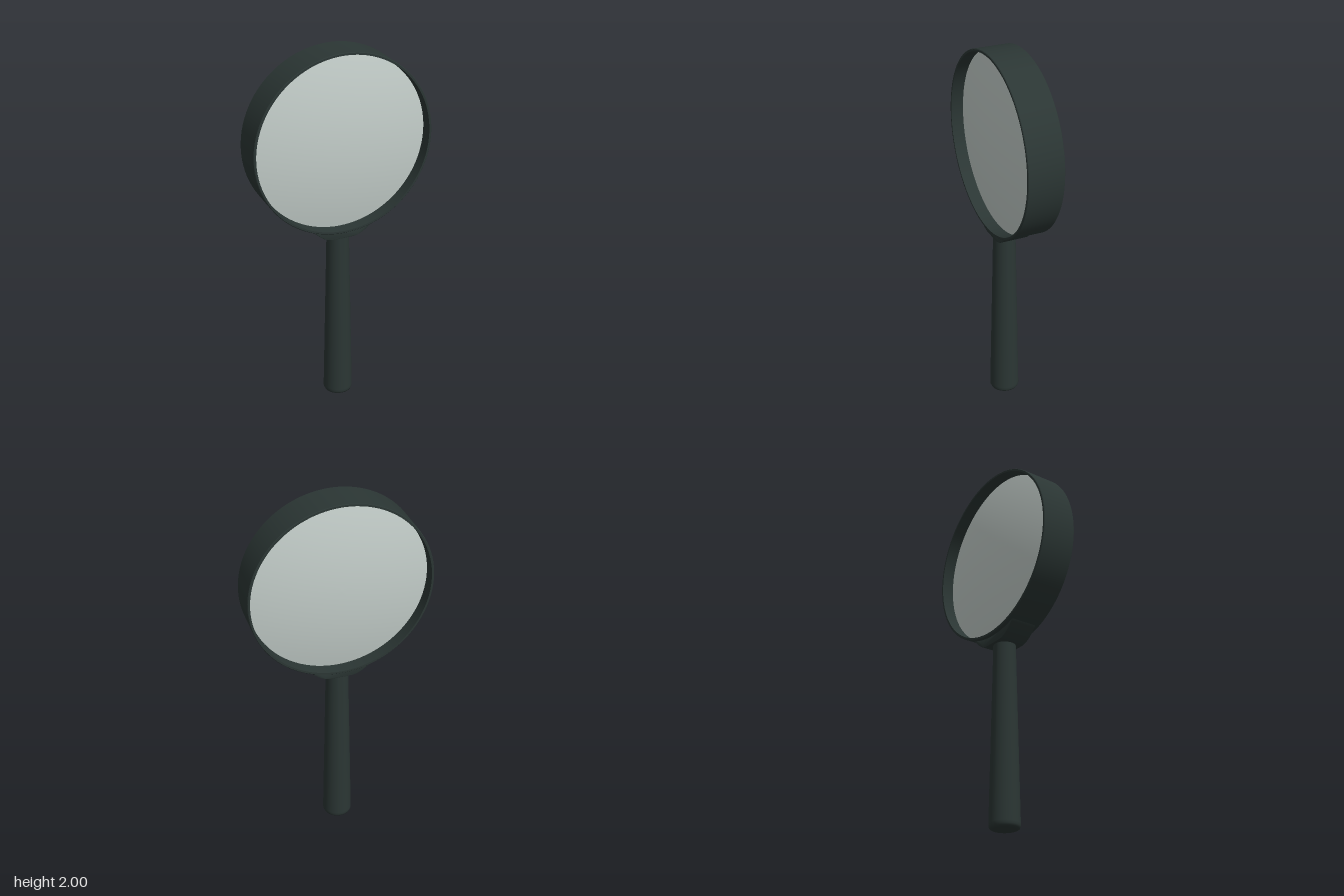
import * as THREE from 'three';
import { toCreasedNormals } from 'three/addons/utils/BufferGeometryUtils.js';

const CENTRE_Y = 1.515, OUTER = 0.485, INNER = 0.472, HALF_DEPTH = 0.097;

const lathe = (points, segments) =>
  new THREE.LatheGeometry(points.map(([r, y]) => new THREE.Vector2(r, y)), segments);

export function createModel() {
  const group = new THREE.Group();
  const black = new THREE.MeshStandardMaterial({ color: 0x2b3634 });
  black.name = 'dark casing';
  const glass = new THREE.MeshStandardMaterial({ color: 0xc5cfcb });
  glass.name = 'pale glass';

  const add = (name, geometry, material, y = 0) => {
    const mesh = new THREE.Mesh(geometry, material);
    mesh.name = name;
    mesh.position.y = y;
    group.add(mesh);
    return mesh;
  };

  // Deep, thin-walled rim with a tiny bevel on the outer edges
  const d = HALF_DEPTH, b = 0.003;
  const rim = lathe([
    [INNER, -d], [OUTER - b, -d], [OUTER, -d + b], [OUTER, d - b],
    [OUTER - b, d], [INNER, d], [INNER, -d],
  ], 96).rotateX(Math.PI / 2);
  add('rim', toCreasedNormals(rim, 0.5), black, CENTRE_Y);

  // Two shallow domes make the convex lens, recessed inside the rim
  const dome = [];
  for (let i = 0; i <= 14; i++) {
    const r = INNER * (1 - i / 14);
    dome.push([r, 0.03 + 0.05 * (1 - (r / INNER) ** 2)]);
  }
  for (const [name, side] of [['lensFront', 1], ['lensBack', -1]]) {
    add(name, lathe(dome, 96).rotateX(side * Math.PI / 2), glass, CENTRE_Y);
  }

  // Cradle that flares from the handle to the underside of the rim
  const cradle = new THREE.Shape();
  cradle.moveTo(-0.06, 0.992);
  cradle.lineTo(0.06, 0.992);
  cradle.bezierCurveTo(0.11, 1.0, 0.14, 1.03, 0.175, 1.068);
  const a = Math.asin(0.175 / 0.48);
  cradle.absarc(0, CENTRE_Y, 0.479, -Math.PI / 2 + a, -Math.PI / 2 - a, true);
  cradle.bezierCurveTo(-0.14, 1.03, -0.11, 1.0, -0.06, 0.992);
  const cradleGeometry = new THREE.ExtrudeGeometry(cradle, {
    depth: 0.142, bevelEnabled: true, bevelThickness: 0.004, bevelSize: 0.004,
    bevelSegments: 2, curveSegments: 16,
  }).translate(0, 0, -0.071);
  add('cradle', toCreasedNormals(cradleGeometry, 0.6), black);

  // Tapered round handle with a softened butt end
  const handle = lathe([
    [0, 0], [0.066, 0], [0.075, 0.005], [0.08, 0.016], [0.08, 0.03],
    [0.06, 0.97], [0.06, 1.01],
  ], 40);
  add('handle', toCreasedNormals(handle, 0.7), black);

  return group;
}
